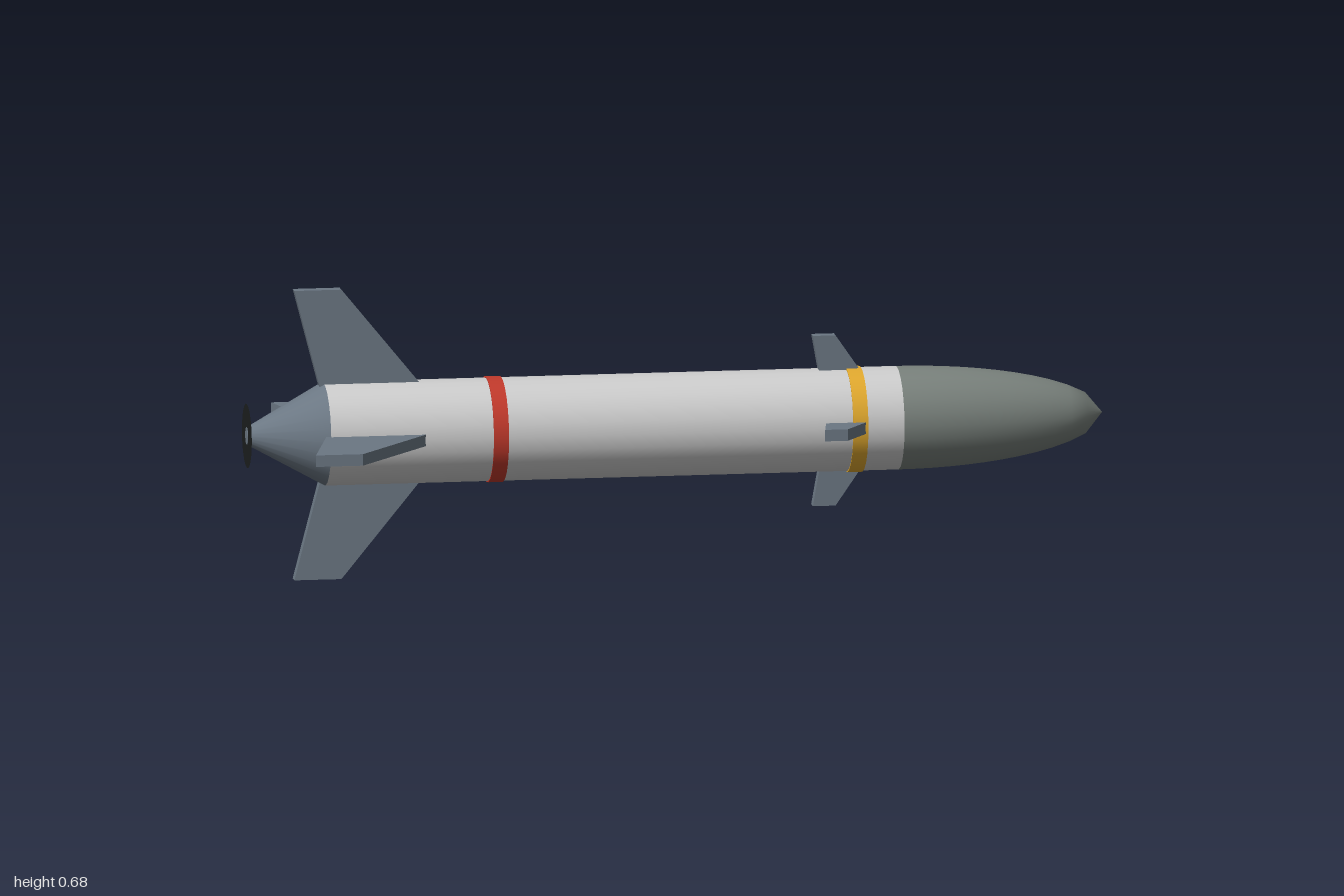
import * as THREE from 'three';

const AXIS_Y = 0.34, R = 0.12, SIDES = 24;

const mat = (color, extra = {}) => new THREE.MeshStandardMaterial({ color, ...extra });

export function createModel() {
  const model = new THREE.Group();
  const white = mat(0xd9dcd8), grey = mat(0x78807b), steel = mat(0x6b7783);
  const red = mat(0xc0392b), yellow = mat(0xe0a82e);
  const black = mat(0x1c1f1f, { side: THREE.DoubleSide });

  const add = (name, geometry, material) => {
    const mesh = new THREE.Mesh(geometry, material);
    mesh.name = name;
    mesh.position.y = AXIS_Y;
    model.add(mesh);
    return mesh;
  };

  // Cylinder or cone along x, from x0 (radius r0) to x1 (radius r1)
  const tube = (x0, x1, r0, r1, open = false) =>
    new THREE.CylinderGeometry(r1, r0, x1 - x0, SIDES, 1, open)
      .rotateZ(-Math.PI / 2).translate((x0 + x1) / 2, 0, 0);

  add('body', tube(-0.82, 0.52, R, R), white);
  add('tailCone', tube(-1, -0.82, 0.02, R), steel);
  add('rearBand', tube(-0.44, -0.405, 0.123, 0.123), red);
  add('frontBand', tube(0.40, 0.435, 0.123, 0.123), yellow);

  // Elliptical nose
  const profile = [];
  for (let i = 0; i <= 12; i++) {
    const t = i / 12;
    profile.push(new THREE.Vector2(R * Math.sqrt(1 - t * t), 0.52 + 0.48 * t));
  }
  add('nose', new THREE.LatheGeometry(profile, SIDES).rotateZ(-Math.PI / 2), grey);

  // Thin exhaust disc at the tail
  add('exhaustDisc', new THREE.CircleGeometry(0.075, SIDES)
    .rotateY(-Math.PI / 2).translate(-0.999, 0, 0), black);

  // Four fins around the axis; outline points are [x, distance from axis]
  const finSet = (name, outline) => {
    const shape = new THREE.Shape(outline.map(([x, r]) => new THREE.Vector2(x, r)));
    const depth = 0.027;
    const geometry = new THREE.ExtrudeGeometry(shape, { depth, bevelEnabled: false })
      .translate(0, 0, -depth / 2);
    for (let i = 0; i < 4; i++) add(name, geometry, steel).rotation.x = i * Math.PI / 2;
  };
  finSet('tailFin', [[-0.83, 0.11], [-0.592, 0.11], [-0.78, 0.34], [-0.89, 0.34]]);
  finSet('canard', [[0.338, 0.11], [0.437, 0.11], [0.375, 0.2], [0.322, 0.2]]);

  return model;
}
